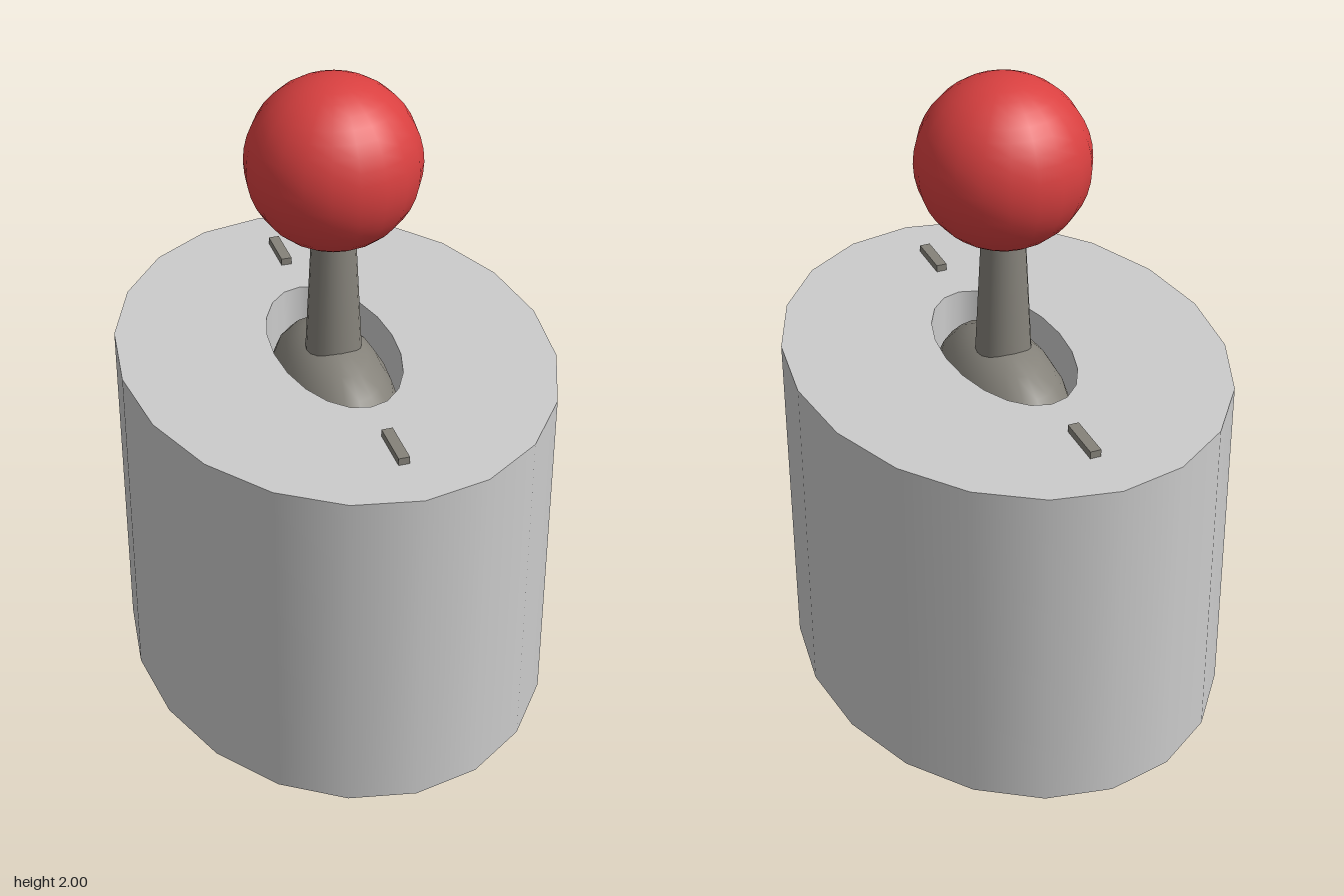
import * as THREE from 'three';

const SIDES = 20;
const grey = new THREE.MeshStandardMaterial({ color: 0xcccccc });
const metal = new THREE.MeshStandardMaterial({ color: 0x85827a });
const red = new THREE.MeshStandardMaterial({ color: 0xd94040 });
const inner = new THREE.MeshStandardMaterial({ color: 0xcccccc, side: THREE.BackSide });

const BASE = { rx: 0.665, rz: 0.85, top: 1.105 };
const SLOT = { rx: 0.19, rz: 0.365, floor: 0.88 };

export function createModel() {
  const model = new THREE.Group();

  const add = (name, geometry, material, x = 0, y = 0, z = 0, parent = model) => {
    const mesh = new THREE.Mesh(geometry, material);
    mesh.name = name;
    mesh.position.set(x, y, z);
    parent.add(mesh);
    return mesh;
  };

  // Open elliptical tube standing between two heights
  const tube = (rx, rz, y0, y1) =>
    new THREE.CylinderGeometry(1, 1, y1 - y0, SIDES, 1, true)
      .scale(rx, 1, rz)
      .translate(0, (y0 + y1) / 2, 0);

  // Corner points of an ellipse
  const ellipse = (rx, rz) =>
    Array.from({ length: SIDES }, (_, i) => {
      const a = (i / SIDES) * Math.PI * 2;
      return new THREE.Vector2(Math.cos(a) * rx, Math.sin(a) * rz);
    });

  // Oval base with a slot cut in its top
  const base = new THREE.Group();
  base.name = 'base';
  model.add(base);
  add('baseWall', tube(BASE.rx, BASE.rz, 0, BASE.top), grey, 0, 0, 0, base);
  add('baseBottom', new THREE.ShapeGeometry(new THREE.Shape(ellipse(BASE.rx, BASE.rz))).rotateX(Math.PI / 2),
    grey, 0, 0, 0, base);
  const topShape = new THREE.Shape(ellipse(BASE.rx, BASE.rz));
  topShape.holes.push(new THREE.Path(ellipse(SLOT.rx, SLOT.rz)));
  add('baseTop', new THREE.ShapeGeometry(topShape).rotateX(-Math.PI / 2), grey, 0, BASE.top, 0, base);
  add('slotWall', tube(SLOT.rx, SLOT.rz, SLOT.floor, BASE.top), inner, 0, 0, 0, base);

  // Domed pivot filling the slot
  add('pivotDome',
    new THREE.SphereGeometry(1, SIDES, 6, 0, Math.PI * 2, 0, Math.PI / 2).scale(SLOT.rx, 0.25, SLOT.rz),
    metal, 0, SLOT.floor, 0);

  // Tapered stick and ball knob
  add('stick', new THREE.CylinderGeometry(0.066, 0.088, 0.44, SIDES), metal, 0, 1.3, 0);
  add('ballKnob', new THREE.SphereGeometry(0.265, SIDES, SIDES), red, 0, 1.735, 0);

  // Raised marks in front of and behind the stick
  for (const side of [1, -1]) {
    add(side > 0 ? 'frontMark' : 'backMark', new THREE.BoxGeometry(0.034, 0.04, 0.153),
      metal, 0, 1.108, side * 0.593);
  }

  return model;
}
